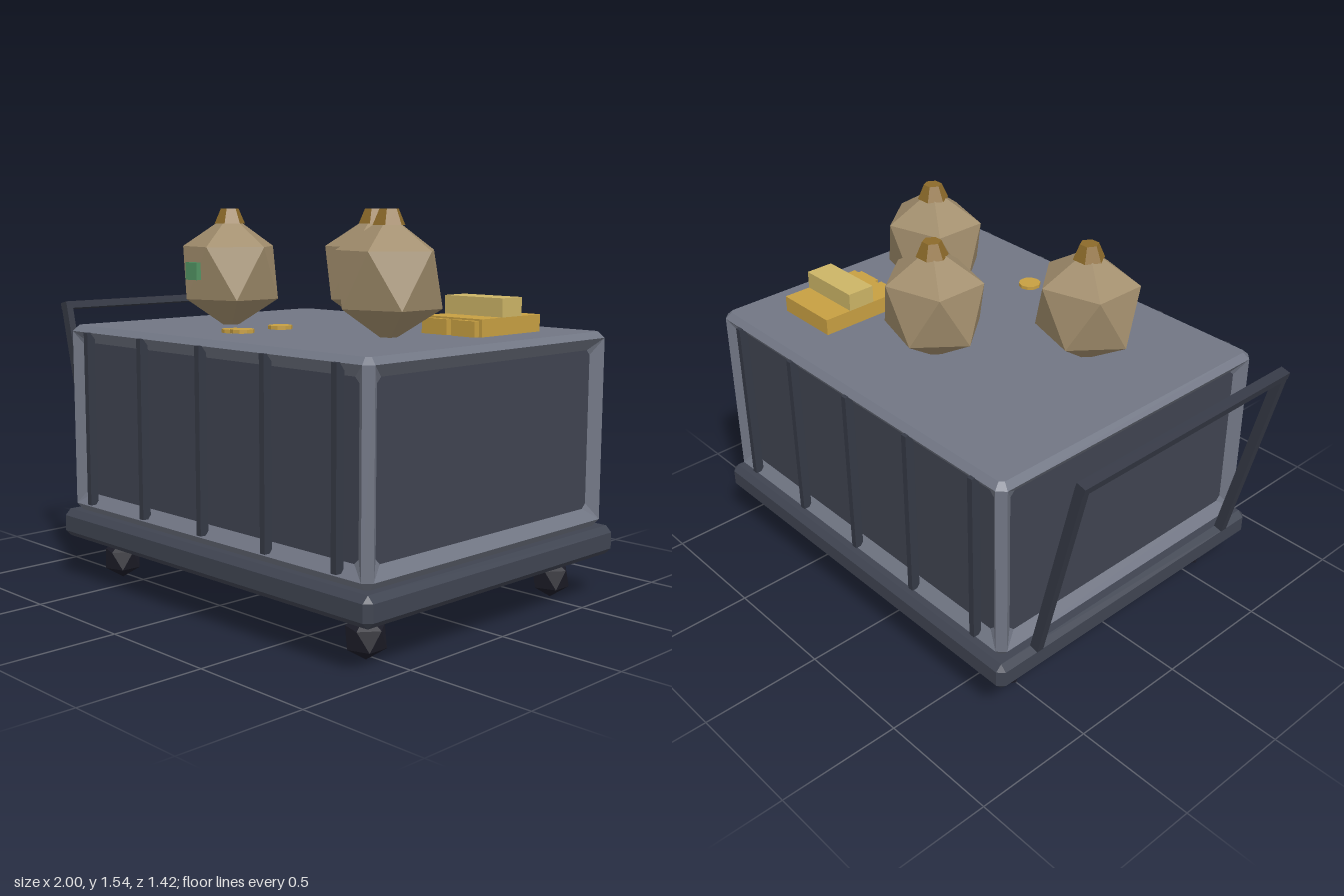
import * as THREE from 'three';
import { ConvexGeometry } from 'three/addons/geometries/ConvexGeometry.js';

const CX = 0.113; // centre of the cart along x

const paint = (name, color) => {
  const m = new THREE.MeshStandardMaterial({ color });
  m.name = name;
  return m;
};

// Facet a geometry so each face has its own flat normal
const facet = (g) => {
  const f = g.index ? g.toNonIndexed() : g;
  f.computeVertexNormals();
  return f;
};

// Box with every edge cut off at 45 degrees
function chamferBox(w, h, d, c) {
  const pts = [];
  for (const x of [-1, 1]) for (const y of [-1, 1]) for (const z of [-1, 1]) {
    const a = x * w / 2, b = y * h / 2, e = z * d / 2;
    pts.push(new THREE.Vector3(a, b - y * c, e - z * c));
    pts.push(new THREE.Vector3(a - x * c, b, e - z * c));
    pts.push(new THREE.Vector3(a - x * c, b - y * c, e));
  }
  return new ConvexGeometry(pts);
}

// Icosahedron standing on a vertex
function gem(rx, ry, rz) {
  const g = new THREE.IcosahedronGeometry(1, 0);
  g.rotateZ(-Math.atan(2 / (1 + Math.sqrt(5))));
  g.scale(rx, ry, rz);
  return facet(g);
}

// Geometry from convex polygons, corners counter-clockwise from outside
function polygons(list) {
  const pos = [];
  for (const p of list) {
    for (let i = 1; i < p.length - 1; i++) pos.push(...p[0], ...p[i], ...p[i + 1]);
  }
  const g = new THREE.BufferGeometry();
  g.setAttribute('position', new THREE.Float32BufferAttribute(pos, 3));
  g.computeVertexNormals();
  return g;
}

// Point a moved a distance toward point b
const toward = (a, b, dist) => {
  const len = Math.hypot(b[0] - a[0], b[1] - a[1], b[2] - a[2]);
  return a.map((v, i) => v + (b[i] - v) * dist / len);
};

// Chamfered body whose four sides bevel inward to recessed panels
function bodyShell() {
  const hx = 0.853, hz = 0.677, c = 0.03, inset = 0.046, depth = 0.036, cut = 0.02;
  const ring = (y, s) => {
    const X = hx - s, Z = hz - s, x = hx - c - s * 0.4, z = hz - c - s * 0.4;
    return [[-x, y, Z], [x, y, Z], [X, y, z], [X, y, -z],
      [x, y, -Z], [-x, y, -Z], [-X, y, -z], [-X, y, z]];
  };
  const rings = [ring(0.292, 0.025), ring(0.324, 0), ring(1.044, 0), ring(1.068, 0.025)];
  const frame = [], panels = [];
  for (let l = 0; l < 3; l++) for (let i = 0; i < 8; i++) {
    const j = (i + 1) % 8;
    const q = [rings[l][i], rings[l][j], rings[l + 1][j], rings[l + 1][i]];
    if (l !== 1 || i % 2) { frame.push(q); continue; }
    // inner rectangle: shrink along the side, then push inward
    const along = i % 4 === 0 ? 0 : 2, out = 2 - along;
    const inner = q.map((p) => {
      const r = [...p];
      r[along] -= Math.sign(p[along]) * inset;
      r[out] -= Math.sign(p[out]) * depth;
      r[1] += p[1] < 0.7 ? inset : -inset;
      return r;
    });
    // clip the panel corners
    const before = inner.map((p, k) => toward(p, inner[(k + 3) % 4], cut));
    const after = inner.map((p, k) => toward(p, inner[(k + 1) % 4], cut));
    for (let k = 0; k < 4; k++) {
      const n = (k + 1) % 4;
      frame.push([q[k], q[n], before[n], after[k]], [q[k], after[k], before[k]]);
    }
    panels.push(before.flatMap((p, k) => [p, after[k]]));
  }
  frame.push(rings[3], [...rings[0]].reverse());
  return [polygons(frame), polygons(panels)];
}

export function createModel() {
  const root = new THREE.Group();
  root.name = 'cart';
  const mat = {
    body: paint('body grey', 0x717684),
    panel: paint('panel slate', 0x3f4350),
    base: paint('base slate', 0x3f4451),
    trim: paint('trim slate', 0x353945),
    wheel: paint('wheel black', 0x1c1c27),
    sack: paint('sack tan', 0xa18d6c),
    knot: paint('knot brown', 0x8c6a2a),
    gold: paint('gold', 0xc79f42),
    paleGold: paint('pale gold', 0xccb466),
    green: paint('tag green', 0x529463),
  };
  const add = (name, geo, m, x, y, z, parent = root) => {
    const mesh = new THREE.Mesh(geo, m);
    mesh.name = name;
    mesh.position.set(x, y, z);
    parent.add(mesh);
    return mesh;
  };
  const box = (name, w, h, d, m, x, y, z) => add(name, new THREE.BoxGeometry(w, h, d), m, x, y, z);

  // Base slab and body
  add('base', chamferBox(1.775, 0.115, 1.42, 0.025), mat.base, CX, 0.237, 0);
  const [frame, panels] = bodyShell();
  add('bodyFrame', frame, mat.body, CX, 0, 0);
  add('sidePanels', panels, mat.panel, CX, 0, 0);

  // Upright ribs, front and back
  for (const s of [-1, 1]) for (let i = -2; i <= 2; i++) {
    box('rib', 0.025, 0.71, 0.036, mat.trim, CX + i * 0.355, 0.69, s * 0.674);
  }

  // Wheels
  for (const x of [-0.597, 0.823]) for (const z of [-0.533, 0.533]) {
    add('wheel', gem(0.082, 0.082, 0.082), mat.wheel, x, 0.083, z);
  }

  // Slanted push handle
  const lean = Math.atan2(0.2, 0.84);
  for (const s of [-1, 1]) {
    box('handleLeg', 0.04, 0.85, 0.03, mat.trim, -0.873, 0.712, s * 0.53).rotation.z = lean;
  }
  box('handleBar', 0.042, 0.03, 1.09, mat.trim, -0.974, 1.127, 0).rotation.z = lean;

  // Tied sacks
  for (const [x, z] of [[-0.3, 0.177], [0.114, -0.24], [0.528, 0.115]]) {
    const sack = new THREE.Group();
    sack.name = 'sack';
    sack.position.set(x, 1.282, z);
    root.add(sack);
    add('sackBody', gem(0.234, 0.237, 0.21), mat.sack, 0, 0, 0, sack);
    const knot = facet(new THREE.CylinderGeometry(0.037, 0.063, 0.06, 6));
    add('sackKnot', knot, mat.knot, 0, 0.228, 0, sack).rotation.y = Math.PI / 6;
  }
  box('sackTag', 0.07, 0.07, 0.022, mat.green, -0.29, 1.293, 0.38);

  // Stacked bars
  box('lowerBars', 0.282, 0.07, 0.355, mat.gold, 0.642, 1.1, -0.297);
  box('upperBar', 0.282, 0.072, 0.118, mat.paleGold, 0.642, 1.171, -0.298);
  for (const [x, w] of [[0.572, 0.124], [0.712, 0.112]]) {
    box('barEnd', w, 0.06, 0.03, mat.gold, x, 1.098, -0.109);
  }

  // Loose coins
  for (const [x, y, z] of [[-0.008, 1.075, 0.41], [0.112, 1.086, 0.47], [0.23, 1.103, 0.385]]) {
    add('coin', facet(new THREE.CylinderGeometry(0.046, 0.046, 0.014, 10)), mat.gold, x, y, z);
  }
  return root;
}
